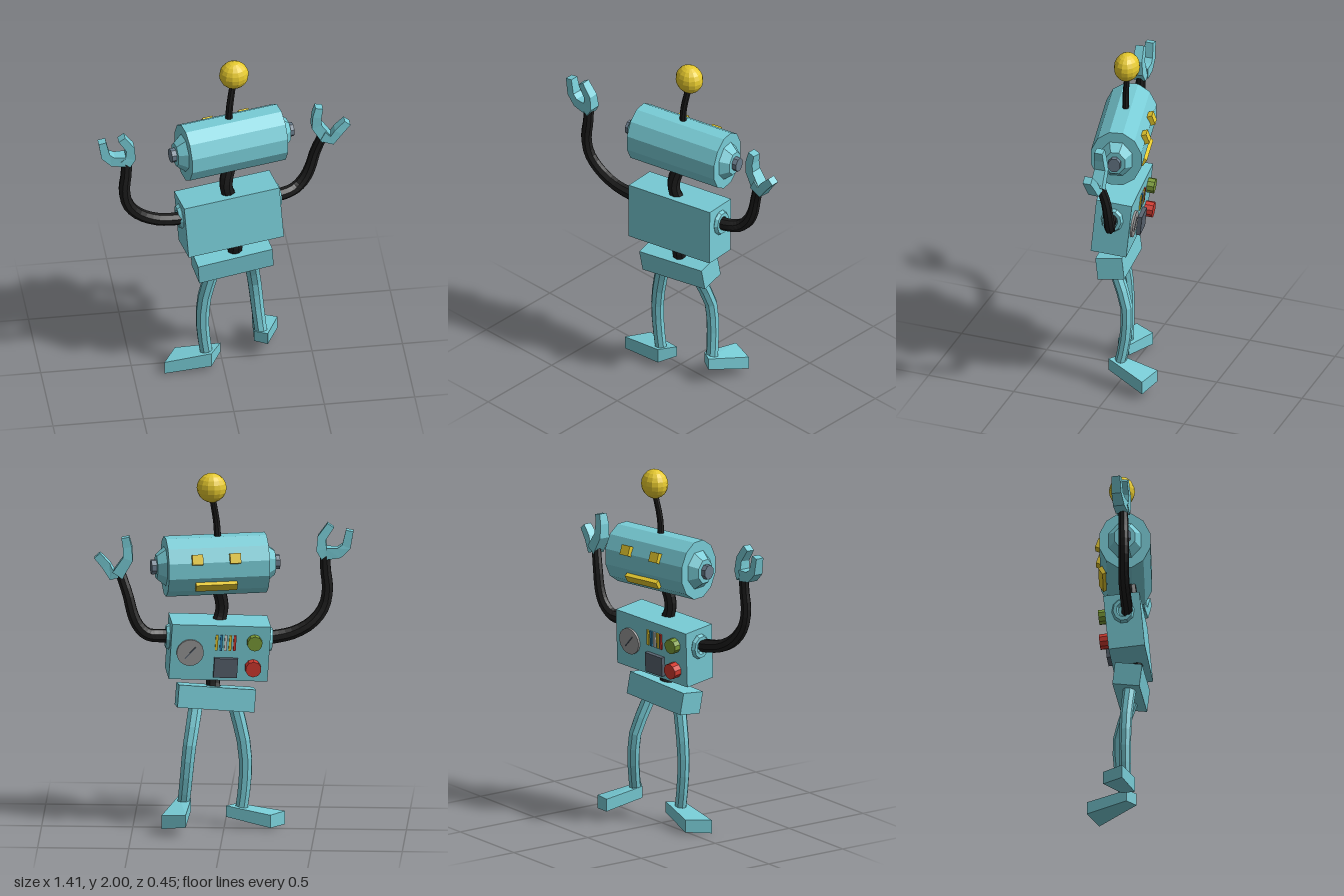
import * as THREE from 'three';
import { ConvexGeometry } from 'three/addons/geometries/ConvexGeometry.js';

const paint = (color) => new THREE.MeshStandardMaterial({ color, flatShading: true });
const TEAL = paint(0x78ccd6), BLACK = paint(0x1c1c1c), GOLD = paint(0xe6c92e), STEEL = paint(0x6a7c8c);
const GREY = paint(0x9a9a9a), SCREEN = paint(0x58636f), RED = paint(0xd23a30), GREEN = paint(0x7c9c38);
const BLUE = paint(0x2b82b0), WHITE = paint(0xd8d8d0);

function add(parent, name, geometry, material, pos = [0, 0, 0], rot = [0, 0, 0]) {
  const m = new THREE.Mesh(geometry, material);
  m.name = name;
  m.position.set(...pos);
  m.rotation.set(...rot);
  parent.add(m);
  return m;
}

function addGroup(parent, name, pos, rot) {
  const g = new THREE.Group();
  g.name = name;
  g.position.set(...pos);
  g.rotation.set(...rot, 'YXZ');
  parent.add(g);
  return g;
}

const box = (w, h, d) => new THREE.BoxGeometry(w, h, d);
// Cylinder lying along x (r0 at the -x end, r1 at the +x end), flattened in z
const xCylinder = (r0, r1, length, sides) =>
  new THREE.CylinderGeometry(r1, r0, length, sides).rotateY(Math.PI / sides)
    .rotateZ(-Math.PI / 2).scale(1, 1, 0.86);
// Disc facing z
const disc = (r, depth, sides) => new THREE.CylinderGeometry(r, r, depth, sides).rotateX(Math.PI / 2);

// Capped limb: rings of `sides` corners along a path, tapering from r0 to r1
function limb(path, r0, r1, { sides = 8, zScale = 0.86, steps = 0 } = {}) {
  const pts = path.map((p) => new THREE.Vector3(...p));
  const centres = steps ? new THREE.CatmullRomCurve3(pts).getPoints(steps) : pts;
  const n = centres.length, pos = [], index = [], Z = new THREE.Vector3(0, 0, 1);
  centres.forEach((c, i) => {
    const t = centres[Math.min(i + 1, n - 1)].clone().sub(centres[Math.max(i - 1, 0)]).normalize();
    const s = t.clone().cross(Z).normalize(), o = t.clone().cross(s);
    const r = r0 + (r1 - r0) * i / (n - 1);
    for (let j = 0; j < sides; j++) {
      const a = (j + 0.5) / sides * Math.PI * 2;
      const p = c.clone().addScaledVector(s, r * Math.cos(a)).addScaledVector(o, r * zScale * Math.sin(a));
      pos.push(p.x, p.y, p.z);
    }
  });
  for (let j = 0; j < sides; j++) {
    const k = (j + 1) % sides;
    for (let i = 0; i < n - 1; i++) {
      const a = i * sides + j, b = i * sides + k;
      index.push(a, b, b + sides, a, b + sides, a + sides);
    }
    if (j > 0 && j < sides - 1) {
      const e = (n - 1) * sides;
      index.push(0, k, j, e, e + j, e + k);
    }
  }
  const g = new THREE.BufferGeometry();
  g.setAttribute('position', new THREE.Float32BufferAttribute(pos, 3));
  g.setIndex(index);
  const flat = g.toNonIndexed();
  flat.computeVertexNormals();
  return flat;
}

// Wedge foot from four plan corners [x, z, bottom, top]
const foot = (corners) => new ConvexGeometry(corners.flatMap(([x, z, lo, hi]) =>
  [new THREE.Vector3(x, lo, z), new THREE.Vector3(x, hi, z)]));

export function createModel() {
  const robot = new THREE.Group();
  robot.name = 'robot';

  // Head with end caps and bolts; the face looks to -z
  const head = addGroup(robot, 'head', [0.05, 1.48, 0.028], [0, 0.22, 0]);
  add(head, 'headShell', xCylinder(0.168, 0.168, 0.56, 12), TEAL);
  for (const s of [-1, 1]) {
    const [a, b] = s > 0 ? [0.112, 0.07] : [0.07, 0.112];
    add(head, 'earCap', xCylinder(a, b, 0.05, 8), TEAL, [s * 0.304, 0, 0]);
    add(head, 'earBolt', xCylinder(0.042, 0.042, 0.05, 8), STEEL, [s * 0.332, 0, 0]);
    add(head, 'eye', box(0.06, 0.056, 0.045), GOLD, [0.018 + s * 0.105, 0.06, -0.135], [0.35, 0, 0]);
  }
  add(head, 'mouth', box(0.23, 0.045, 0.045), GOLD, [0.015, -0.088, -0.118], [-0.55, 0, 0]);

  // Antenna
  add(robot, 'antennaRod', limb([[0.035, 1.6, 0.02], [0.042, 1.72, 0.02], [0.065, 1.87, 0]], 0.021, 0.018,
    { steps: 6 }), BLACK);
  add(robot, 'antennaBall', new THREE.SphereGeometry(0.082, 14, 10).scale(1, 1, 0.86), GOLD, [0.068, 1.918, 0.002]);

  // Neck and waist tubes
  add(robot, 'neck', limb([[0.04, 1.36, 0.05], [0.015, 1.25, 0.07], [0.02, 1.19, 0.07], [0.045, 1.12, 0.05]],
    0.038, 0.038, { steps: 8 }), BLACK);
  add(robot, 'waist', limb([[0.05, 0.9, 0.085], [0.065, 0.82, 0.085], [0.055, 0.74, 0.06]],
    0.04, 0.04, { steps: 6 }), BLACK);

  // Torso with shoulder rings
  const torso = addGroup(robot, 'torso', [0.035, 1.008, 0.045], [-0.09, 0.15, 0.055]);
  add(torso, 'torsoBox', box(0.545, 0.315, 0.2), TEAL);
  for (const s of [-1, 1]) {
    const ring = new THREE.TorusGeometry(0.052, 0.021, 6, 10).rotateY(Math.PI / 2).scale(1, 1, 0.86);
    add(torso, 'shoulderRing', ring, TEAL, [s * 0.275, 0.055, 0]);
  }

  // Control panel on the chest
  const panel = addGroup(torso, 'controlPanel', [0, 0, -0.1], [0, 0, 0]);
  add(panel, 'gauge', disc(0.075, 0.016, 18), GREY, [0.165, 0, -0.004]);
  add(panel, 'gaugeNeedle', box(0.006, 0.085, 0.006), SCREEN, [0.165, 0, -0.013], [0, 0, 0.7]);
  [GOLD, BLUE, WHITE, GOLD, RED].forEach((m, i) =>
    add(panel, 'indicatorBar', box(0.014, 0.088, 0.01), m, [0.022 - i * 0.025, 0.06, -0.003]));
  add(panel, 'screen', box(0.13, 0.11, 0.03), SCREEN, [-0.035, -0.08, -0.008]);
  add(panel, 'greenButton', disc(0.042, 0.05, 10), GREEN, [-0.185, 0.07, -0.015]);
  add(panel, 'redButton', disc(0.044, 0.06, 10), RED, [-0.185, -0.075, -0.018]);

  // Pelvis
  const pelvis = addGroup(robot, 'pelvis', [0.05, 0.722, 0.058], [0.13, 0.15, 0.09]);
  add(pelvis, 'pelvisBox', box(0.425, 0.125, 0.15), TEAL);

  // Arms
  add(robot, 'leftArm', limb([[0.28, 1.08, 0.01], [0.36, 1.083, -0.01], [0.42, 1.098, -0.035], [0.47, 1.15, -0.05],
    [0.5, 1.22, -0.055], [0.525, 1.32, -0.05], [0.57, 1.45, -0.03]], 0.039, 0.029, { steps: 16 }), BLACK);
  add(robot, 'rightArm', limb([[-0.21, 1.05, 0.1], [-0.28, 1.055, 0.115], [-0.375, 1.075, 0.13],
    [-0.475, 1.13, 0.145], [-0.54, 1.215, 0.16], [-0.56, 1.32, 0.165], [-0.55, 1.42, 0.162],
    [-0.545, 1.53, 0.158]], 0.039, 0.03, { steps: 18 }), BLACK);

  // Two-pronged claws
  const claws = {
    leftClaw: [
      [[0.582, 1.43, -0.025], [0.525, 1.52, -0.025], [0.528, 1.585, -0.02], [0.54, 1.64, -0.02]],
      [[0.56, 1.455, -0.02], [0.612, 1.428, -0.015], [0.645, 1.48, -0.01], [0.695, 1.535, -0.01]]],
    rightClaw: [
      [[-0.555, 1.505, 0.158], [-0.528, 1.54, 0.16], [-0.53, 1.605, 0.165], [-0.578, 1.675, 0.17]],
      [[-0.555, 1.52, 0.155], [-0.625, 1.525, 0.155], [-0.665, 1.56, 0.155], [-0.683, 1.65, 0.155]]],
  };
  for (const [name, prongs] of Object.entries(claws))
    for (const path of prongs)
      add(robot, name, limb(path, 0.045, 0.03, { sides: 4, zScale: 1.1 }), TEAL);

  // Legs
  add(robot, 'leftLeg', limb([[0.155, 0.71, 0.045], [0.165, 0.62, 0.01], [0.185, 0.49, -0.04], [0.198, 0.37, -0.047],
    [0.21, 0.24, -0.035], [0.225, 0.11, -0.01]], 0.042, 0.036, { steps: 7 }), TEAL);
  add(robot, 'rightLeg', limb([[-0.05, 0.71, 0.08], [-0.07, 0.62, 0.075], [-0.1, 0.5, 0.068], [-0.115, 0.36, 0.065],
    [-0.11, 0.23, 0.062], [-0.092, 0.09, 0.06]], 0.042, 0.036, { steps: 7 }), TEAL);

  // Feet, heel corners first
  add(robot, 'leftFoot', foot([[0.18, 0, 0.1, 0.165], [0.25, 0.04, 0.1, 0.17],
    [0.2, -0.228, 0.055, 0.125], [0.335, -0.19, 0.036, 0.112]]), TEAL);
  add(robot, 'rightFoot', foot([[-0.07, 0.108, 0.03, 0.115], [-0.01, 0.02, 0.058, 0.12],
    [-0.33, 0.1, 0, 0.075], [-0.255, -0.025, 0.008, 0.08]]), TEAL);

  return robot;
}
